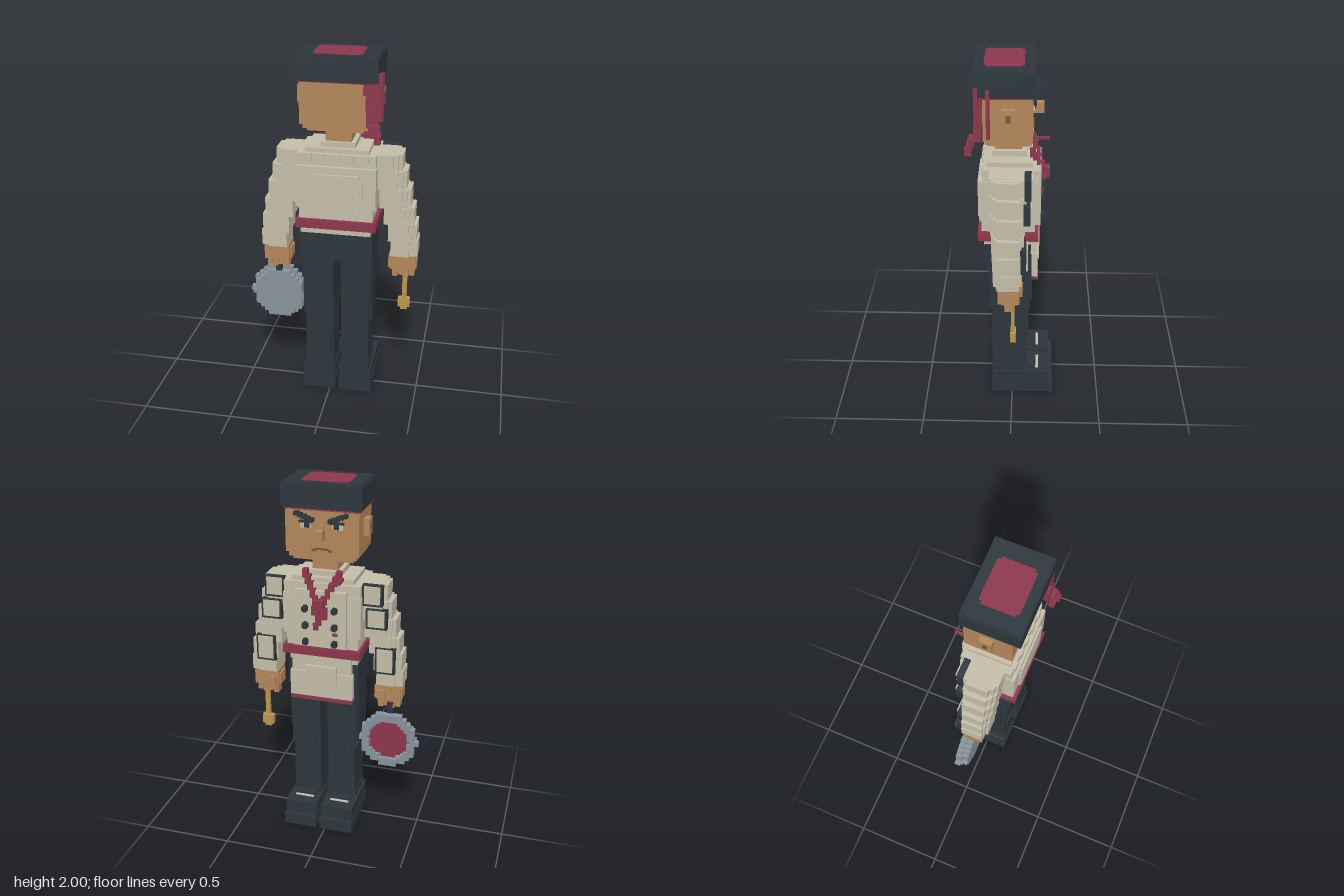
import * as THREE from 'three';

const mat = (name, color) => Object.assign(new THREE.MeshStandardMaterial({ color }), { name });

export function createModel() {
  const root = new THREE.Group();
  root.name = 'blockyCook';
  const dark = mat('charcoal cloth', 0x2c363c);
  const cream = mat('cream cloth', 0xc3bda8);
  const skin = mat('skin', 0xb3865a);
  const red = mat('crimson cloth', 0x8c364c);
  const steel = mat('pan steel', 0x87929a);
  const gold = mat('spoon brass', 0xb9964c);
  const lip = mat('mouth brown', 0x7a5638);

  const group = (name, parent = root) => {
    const g = new THREE.Group();
    g.name = name;
    parent.add(g);
    return g;
  };
  // Box given by its limits on each axis
  const box = (parent, name, m, x0, x1, y0, y1, z0, z1) => {
    const mesh = new THREE.Mesh(new THREE.BoxGeometry(Math.abs(x1 - x0), y1 - y0, z1 - z0), m);
    mesh.position.set((x0 + x1) / 2, (y0 + y1) / 2, (z0 + z1) / 2);
    mesh.name = name;
    parent.add(mesh);
    return mesh;
  };
  // Stack of boxes from rows of limits
  const stack = (parent, name, m, rows) => rows.forEach(r => box(parent, name, m, ...r));
  const mid = 0.042; // body centre line
  // Box measured outwards from the centre line on side s
  const side = (s, parent, name, m, d0, d1, ...r) => box(parent, name, m, mid + s * d0, mid + s * d1, ...r);

  // Hat with padded edges and a crimson crown patch
  const hat = group('hat');
  stack(hat, 'hatBody', dark, [
    [-0.17, 0.26, 1.875, 1.99, -0.115, 0.19],
    [-0.163, 0.253, 1.866, 1.998, -0.108, 0.183]]);
  box(hat, 'hatBand', red, -0.16, 0.245, 1.857, 1.868, -0.105, 0.165);
  stack(hat, 'crownPatch', red, [
    [-0.07, 0.155, 1.99, 2.0, -0.06, 0.14],
    [-0.085, 0.17, 1.99, 1.9995, -0.045, 0.125]]);

  // Head
  const head = group('head');
  stack(head, 'skull', skin, [
    [-0.155, 0.24, 1.63, 1.86, -0.105, 0.145],
    [-0.14, 0.225, 1.605, 1.64, -0.1, 0.135],
    [-0.12, 0.205, 1.59, 1.61, -0.09, 0.12]]);
  box(head, 'neck', skin, -0.028, 0.112, 1.5, 1.6, -0.05, 0.09);
  box(head, 'nose', skin, 0.025, 0.06, 1.71, 1.765, -0.16, -0.1);
  box(head, 'noseBridge', skin, 0.03, 0.055, 1.765, 1.79, -0.125, -0.1);
  for (const s of [1, -1]) {
    side(s, head, 'ear', skin, 0.19, 0.228, 1.72, 1.81, -0.015, 0.05);
    side(s, head, 'earHollow', lip, 0.226, 0.2285, 1.745, 1.785, 0.005, 0.03);
    side(s, head, 'eyeWhite', cream, 0.055, 0.115, 1.765, 1.8, -0.112, -0.1);
    side(s, head, 'pupil', dark, 0.065, 0.092, 1.768, 1.803, -0.118, -0.1);
    side(s, head, 'eyelid', dark, 0.048, 0.12, 1.795, 1.806, -0.122, -0.1);
    // Frowning brow, rising in steps away from the nose
    for (let i = 0; i < 5; i++)
      side(s, head, 'eyebrow', dark, 0.04 + i * 0.02, 0.062 + i * 0.02, 1.802 + i * 0.008, 1.822 + i * 0.008, -0.14, -0.1);
    side(s, head, 'mouthCorner', lip, 0.035, 0.055, 1.643, 1.655, -0.111, -0.1);
  }
  box(head, 'mouth', lip, mid - 0.036, mid + 0.036, 1.652, 1.662, -0.111, -0.1);

  // Hat tassel trailing at one back corner
  stack(group('tassel'), 'tasselStrand', red, [
    [0.18, 0.255, 1.8, 1.865, 0.145, 0.165],
    [0.195, 0.26, 1.72, 1.8, 0.145, 0.175],
    [0.2, 0.265, 1.64, 1.73, 0.15, 0.19],
    [0.24, 0.28, 1.68, 1.92, 0.165, 0.185],
    [0.215, 0.275, 1.62, 1.66, 0.185, 0.215],
    [0.195, 0.28, 1.6, 1.63, 0.195, 0.225],
    [0.25, 0.28, 1.57, 1.61, 0.2, 0.235],
    [0.235, 0.28, 1.66, 1.91, 0.108, 0.126]]);

  // Jacket
  const jacket = group('jacket');
  stack(jacket, 'jacketBody', cream, [
    [-0.155, 0.228, 1.02, 1.06, -0.11, 0.15],
    [-0.16, 0.24, 1.06, 1.19, -0.12, 0.16],
    [-0.175, 0.255, 1.18, 1.41, -0.13, 0.17],
    [-0.17, 0.25, 1.4, 1.475, -0.125, 0.15],
    [-0.13, 0.21, 1.47, 1.5, -0.105, 0.13],
    [-0.05, 0.135, 1.495, 1.53, -0.075, 0.105]]);
  stack(jacket, 'backPanel', cream, [
    [-0.09, 0.17, 1.16, 1.37, 0.165, 0.181],
    [-0.105, 0.185, 1.18, 1.35, 0.165, 0.18]]);
  for (let i = 0; i < 5; i++)
    box(jacket, 'yokeTab', cream, -0.13 + i * 0.075, -0.09 + i * 0.075, 1.43, 1.478, 0.14, 0.158);
  box(jacket, 'frontPanel', cream, -0.1, 0.185, 1.12, 1.44, -0.15, -0.12);
  box(jacket, 'belt', red, -0.175, 0.26, 1.06, 1.11, -0.14, 0.18);
  for (const s of [1, -1]) for (const y of [1.15, 1.245, 1.34]) {
    side(s, jacket, 'button', dark, 0.066, 0.096, y - 0.012, y + 0.012, -0.175, -0.14);
    side(s, jacket, 'button', dark, 0.072, 0.09, y - 0.018, y + 0.018, -0.172, -0.14);
  }

  // Neckerchief: stepped V, knot and loose tails
  const scarf = group('neckerchief');
  for (const s of [1, -1]) for (let i = 0; i < 5; i++)
    side(s, scarf, 'scarfFold', red, 0.01 + i * 0.017, 0.038 + i * 0.017, 1.37 + i * 0.032, 1.418 + i * 0.032, -0.168 + i * 0.012, -0.09);
  stack(scarf, 'scarfKnot', red, [
    [0.015, 0.07, 1.345, 1.4, -0.195, -0.14],
    [0.0, 0.04, 1.29, 1.355, -0.175, -0.14],
    [0.045, 0.085, 1.31, 1.36, -0.172, -0.14],
    [0.035, 0.065, 1.25, 1.31, -0.165, -0.14],
    [0.05, 0.08, 1.22, 1.26, -0.16, -0.14],
    [-0.08, -0.066, 1.5, 1.515, -0.195, -0.115],
    [-0.055, -0.025, 1.195, 1.21, -0.158, -0.14]]);

  // Apron flap with pocket and hem
  const apron = group('apron');
  stack(apron, 'apronCloth', cream, [
    [-0.125, 0.21, 0.95, 1.06, -0.13, -0.1],
    [-0.135, 0.22, 0.81, 0.96, -0.138, -0.105]]);
  box(apron, 'apronPocket', cream, -0.045, 0.13, 0.87, 1.0, -0.146, -0.12);
  box(apron, 'apronHem', red, -0.135, 0.22, 0.79, 0.812, -0.142, -0.105);

  // Trousers and shoes
  const legs = group('legs');
  box(legs, 'hips', dark, -0.155, 0.238, 0.86, 1.022, -0.1, 0.145);
  box(legs, 'seat', dark, -0.12, 0.2, 0.88, 1.0, 0.1, 0.152);
  for (const s of [1, -1]) {
    const leg = group(s > 0 ? 'leftLeg' : 'rightLeg', legs);
    side(s, leg, 'thigh', dark, 0.022, 0.19, 0.6, 0.87, -0.1, 0.128);
    side(s, leg, 'thighSide', dark, 0.1, 0.197, 0.48, 0.87, -0.07, 0.09);
    side(s, leg, 'shin', dark, 0.022, 0.18, 0.13, 0.61, -0.085, 0.11);
    side(s, leg, 'thighPad', dark, 0.05, 0.165, 0.64, 0.85, -0.11, -0.08);
    side(s, leg, 'kneePad', dark, 0.045, 0.16, 0.42, 0.56, -0.093, -0.07);
    side(s, leg, 'calf', dark, 0.04, 0.155, 0.18, 0.4, 0.09, 0.116);
    side(s, leg, 'cuff', dark, 0.02, 0.185, 0.14, 0.18, -0.09, 0.115);
    side(s, leg, 'shoeSole', dark, 0.01, 0.202, 0, 0.07, -0.235, 0.12);
    side(s, leg, 'shoeUpper', dark, 0.014, 0.198, 0.06, 0.147, -0.213, 0.115);
    side(s, leg, 'shoeTongue', dark, 0.045, 0.165, 0.14, 0.165, -0.135, -0.08);
    side(s, leg, 'shoeStrap', cream, 0.05, 0.16, 0.146, 0.152, -0.15, -0.13);
  }

  // Sleeves as stepped blocks, panels with dark piping, and hands
  const sleeve = [[1.38, 1.475, 0.2, 0.34], [1.28, 1.385, 0.2, 0.365], [1.175, 1.285, 0.225, 0.39],
    [1.08, 1.18, 0.25, 0.412], [0.98, 1.085, 0.275, 0.428], [0.89, 0.985, 0.29, 0.436]];
  const panels = [[1.365, 1.48, 0.215, 0.325, -0.1], [1.235, 1.345, 0.235, 0.35, -0.096], [0.97, 1.12, 0.285, 0.395, -0.078]];
  for (const s of [1, -1]) {
    const arm = group(s > 0 ? 'leftArm' : 'rightArm');
    sleeve.forEach(([y0, y1, d0, d1], i) => {
      side(s, arm, 'sleeve', cream, d0, d1 - 0.045, y0, y1, -0.08 + i * 0.005, 0.115 - i * 0.004);
      side(s, arm, 'sleeveMiddle', cream, d0 + 0.03, d1 - 0.02, y0, y1 - 0.002, -0.065 + i * 0.004, 0.1 - i * 0.004);
      side(s, arm, 'sleeveOuter', cream, d0 + 0.05, d1, y0, y1 - 0.004, -0.045, 0.075);
    });
    panels.forEach(([y0, y1, d0, d1, z]) => {
      side(s, arm, 'panelPiping', dark, d0, d1, y0, y1, z, z + 0.035);
      side(s, arm, 'sleevePanel', cream, d0 + 0.012, d1 - 0.012, y0 + 0.014, y1 - 0.004, z - 0.008, z + 0.01);
    });
    side(s, arm, 'hand', skin, 0.285, 0.425, 0.8, 0.892, -0.045, 0.07);
    side(s, arm, 'palm', skin, 0.275, 0.432, 0.8, 0.87, -0.03, 0.05);
    side(s, arm, 'thumb', skin, 0.3, 0.34, 0.79, 0.86, -0.06, -0.03);
    for (let i = 0; i < 4; i++)
      side(s, arm, 'finger', skin, 0.296 + i * 0.032, 0.324 + i * 0.032, 0.74 + (i % 2) * 0.01, 0.81, -0.02, 0.035);
  }

  // Spoon
  const spoon = group('spoon');
  box(spoon, 'spoonHandle', gold, 0.395, 0.421, 0.57, 0.76, -0.018, 0.002);
  box(spoon, 'spoonBowl', gold, 0.373, 0.44, 0.53, 0.585, -0.025, 0.005);
  box(spoon, 'spoonTip', gold, 0.388, 0.426, 0.515, 0.54, -0.025, 0.005);

  // Frying pan: stepped disc, raised rim and crimson sauce
  const pan = group('fryingPan');
  pan.position.set(-0.322, 0.545, 0);
  const outline = (r, n) => {
    // Staircase circle made of square steps
    const pts = [], step = r * 2 / n;
    const half = y => Math.round(Math.sqrt(Math.max(0, r * r - y * y)) / step) * step;
    for (let i = 0; i < n; i++) {
      const y = -r + i * step, w = half(y + step / 2);
      pts.push(new THREE.Vector2(w, y), new THREE.Vector2(w, y + step));
    }
    return pts.concat(pts.map(p => new THREE.Vector2(-p.x, p.y)).reverse());
  };
  const disc = (name, m, r, n, z0, z1, hole) => {
    const shape = new THREE.Shape(outline(r, n));
    if (hole) shape.holes.push(new THREE.Path(outline(hole, n)));
    const mesh = new THREE.Mesh(new THREE.ExtrudeGeometry(shape, { depth: z1 - z0, bevelEnabled: false }), m);
    mesh.position.z = z0;
    mesh.name = name;
    pan.add(mesh);
  };
  disc('panBase', steel, 0.146, 13, -0.03, 0.01);
  disc('panRim', steel, 0.163, 13, -0.06, -0.025, 0.118);
  disc('panSauce', red, 0.115, 11, -0.039, -0.03);
  box(pan, 'panHandle', dark, -0.016, 0.016, 0.14, 0.23, -0.03, 0.005);
  return root;
}
